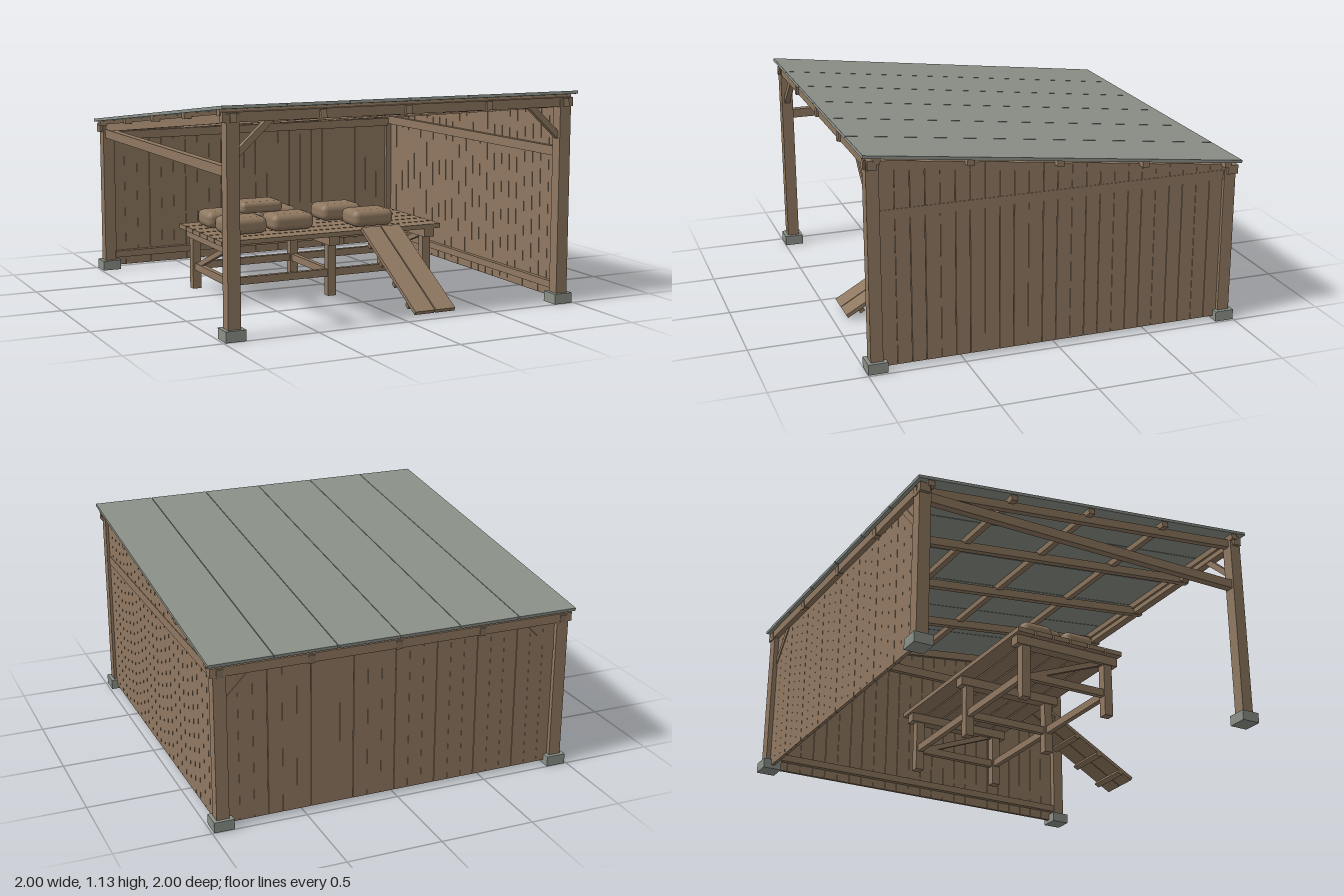
import * as THREE from 'three';
import { RoundedBoxGeometry } from 'three/addons/geometries/RoundedBoxGeometry.js';

const wood = new THREE.MeshStandardMaterial({ color: 0x8f7860 });
wood.name = 'wood';
const slate = new THREE.MeshStandardMaterial({ color: 0x8b9088 });
slate.name = 'slateGrey';

const SLOPE = 0.12;
const TILT = -Math.atan(SLOPE);
const roofTop = (z) => 1.008 + SLOPE * z;

export function createModel() {
  const model = new THREE.Group();
  model.name = 'openShed';

  const group = (name) => {
    const g = new THREE.Group();
    g.name = name;
    model.add(g);
    return g;
  };
  const add = (parent, name, geometry, material) => {
    const m = new THREE.Mesh(geometry, material);
    m.name = name;
    parent.add(m);
    return m;
  };
  // Box given by its minimum and maximum on each axis
  const box = (parent, name, x0, x1, y0, y1, z0, z1, material = wood) => {
    const m = add(parent, name, new THREE.BoxGeometry(x1 - x0, y1 - y0, z1 - z0), material);
    m.position.set((x0 + x1) / 2, (y0 + y1) / 2, (z0 + z1) / 2);
    return m;
  };
  // Timber from a to b: w is its width, t its thickness
  const strut = (parent, name, a, b, w, t) => {
    const from = new THREE.Vector3(...a), to = new THREE.Vector3(...b);
    const m = add(parent, name, new THREE.BoxGeometry(w, t, from.distanceTo(to)), wood);
    m.position.copy(from).add(to).multiplyScalar(0.5);
    m.lookAt(to);
    return m;
  };

  // Roof panels with narrow joints
  const roof = group('roof');
  for (let i = 0; i < 6; i++) {
    const panel = add(roof, 'roofPanel', new THREE.BoxGeometry(1 / 3 - 0.004, 0.016, 2.012), slate);
    panel.position.set(-1 + (i + 0.5) / 3, roofTop(0) - 0.008, 0);
    panel.rotation.x = TILT;
  }

  // Rafters run front to back, purlins lie across them
  const frame = group('roofFrame');
  for (const x of [-0.935, -0.4675, 0, 0.4675, 0.935]) {
    const rafter = add(frame, 'rafter', new THREE.BoxGeometry(0.034, 0.045, 1.99), wood);
    rafter.position.set(x, roofTop(0) - 0.058, 0);
    rafter.rotation.x = TILT;
  }
  for (const z of [-0.925, -0.46, 0, 0.465, 0.93]) {
    const purlin = add(frame, 'purlin', new THREE.BoxGeometry(1.98, 0.03, 0.036), wood);
    purlin.position.set(0, roofTop(z) - 0.031, z);
    purlin.rotation.x = TILT;
  }
  box(frame, 'frontHeader', -0.985, 0.985, 1.045, 1.093, 0.93, 0.975);
  box(frame, 'backPlate', -0.985, 0.985, 0.815, 0.862, -0.985, -0.93);

  // Posts on stone feet
  const posts = group('posts');
  for (const sx of [-1, 1]) {
    for (const sz of [-1, 1]) {
      const x = sx * 0.936, z = sz * 0.948;
      const top = sz > 0 ? 1.085 : 0.85;
      box(posts, 'post', x - 0.033, x + 0.033, 0.04, top, z - 0.032, z + 0.032);
      box(posts, 'stoneFoot', x - 0.053, x + 0.053, 0, 0.055, z - 0.051, z + 0.051, slate);
    }
    // Knee braces at front and back
    strut(posts, 'frontBrace', [sx * 0.91, 0.89, 0.95], [sx * 0.73, 1.055, 0.95], 0.03, 0.032);
    strut(posts, 'backBrace', [sx * 0.91, 0.66, -0.952], [sx * 0.75, 0.825, -0.952], 0.016, 0.032);
  }

  // Back wall of upright boards with inner rails
  const backWall = group('backWall');
  const N = 24, step = 1.83 / N;
  for (let i = 0; i < N; i++) {
    const a = -0.915 + i * step;
    const gap = i % 3 === 0 ? 0.003 : 0.001;
    box(backWall, 'backBoard', a + gap, a + step, 0.02, 0.83, -0.955, -0.937);
  }
  box(backWall, 'backUpperRail', -0.91, 0.91, 0.77, 0.818, -0.937, -0.905);
  box(backWall, 'backLowerRail', -0.91, 0.91, 0.07, 0.108, -0.937, -0.905);

  // Side wall: the top of each board follows the roof
  const sideWall = group('leftWall');
  for (let i = 0; i < N; i++) {
    const z = -0.915 + (i + 0.5) * step;
    const gap = i % 3 === 0 ? 0.004 : 0.002;
    const geo = new THREE.BoxGeometry(0.018, 1, step - gap);
    const p = geo.attributes.position;
    for (let k = 0; k < p.count; k++) {
      p.setY(k, p.getY(k) > 0 ? roofTop(z + p.getZ(k)) - 0.037 : 0.02);
    }
    geo.computeVertexNormals();
    add(sideWall, 'sideBoard', geo, wood).position.set(0.945, 0, z);
  }
  box(sideWall, 'leftRail', 0.91, 0.957, 0.782, 0.832, -0.92, 0.92);
  box(sideWall, 'leftLowerRail', 0.91, 0.937, 0.07, 0.108, -0.92, 0.92);

  // Rail across the open side
  box(posts, 'rightRail', -0.957, -0.915, 0.782, 0.832, -0.92, 0.92);

  // Table with planked top
  const table = group('table');
  const planks = 6, pw = 0.63 / planks;
  for (let i = 0; i < planks; i++) {
    const a = -0.295 + i * pw;
    box(table, 'tablePlank', -0.735, 0.573, 0.33, 0.355, a, a + pw - 0.008);
  }
  const legX = [-0.67, -0.078, 0.508], legZ = [-0.225, 0.265];
  for (const x of legX) {
    for (const z of legZ) box(table, 'tableLeg', x - 0.024, x + 0.024, 0, 0.29, z - 0.024, z + 0.024);
    box(table, 'tableCrossBeam', x - 0.03, x + 0.03, 0.282, 0.33, -0.28, 0.32);
    box(table, 'tableCrossRail', x - 0.014, x + 0.014, 0.105, 0.145, -0.225, 0.265);
  }
  for (const z of legZ) box(table, 'tableLongRail', -0.67, 0.508, 0.106, 0.146, z - 0.014, z + 0.014);
  for (const x of [legX[0], legX[2]]) {
    strut(table, 'tableDiagonal', [x, 0.12, -0.21], [x, 0.3, 0.25], 0.022, 0.028);
  }

  // Sacks laid on the table: x, y, z of the centre
  const sacks = group('sacks');
  const sackSpots = [
    [-0.54, 0.402, 0.12], [-0.54, 0.402, -0.13], [-0.26, 0.402, 0.11],
    [-0.25, 0.402, -0.13], [0.125, 0.402, -0.08], [0.192, 0.402, 0.18],
  ];
  for (const [x, y, z] of sackSpots) {
    add(sacks, 'sack', new RoundedBoxGeometry(0.246, 0.092, 0.18, 2, 0.035), wood).position.set(x, y, z);
  }
  add(sacks, 'topSack', new RoundedBoxGeometry(0.242, 0.062, 0.17, 2, 0.024), wood).position.set(-0.4, 0.479, 0.01);

  // Two-board ramp with cleats underneath
  const ramp = group('ramp');
  const high = [0.362, 0.33], low = [0.02, 0.93];
  for (const x of [0.133, 0.253]) {
    strut(ramp, 'rampBoard', [x, ...high], [x, ...low], 0.114, 0.02);
  }
  for (const t of [0.18, 0.4, 0.64, 0.88]) {
    const cleat = add(ramp, 'rampCleat', new THREE.BoxGeometry(0.24, 0.018, 0.03), wood);
    cleat.position.set(0.193, high[0] + (low[0] - high[0]) * t - 0.017, high[1] + (low[1] - high[1]) * t - 0.009);
    cleat.rotation.x = Math.atan2(high[0] - low[0], low[1] - high[1]);
  }

  return model;
}
